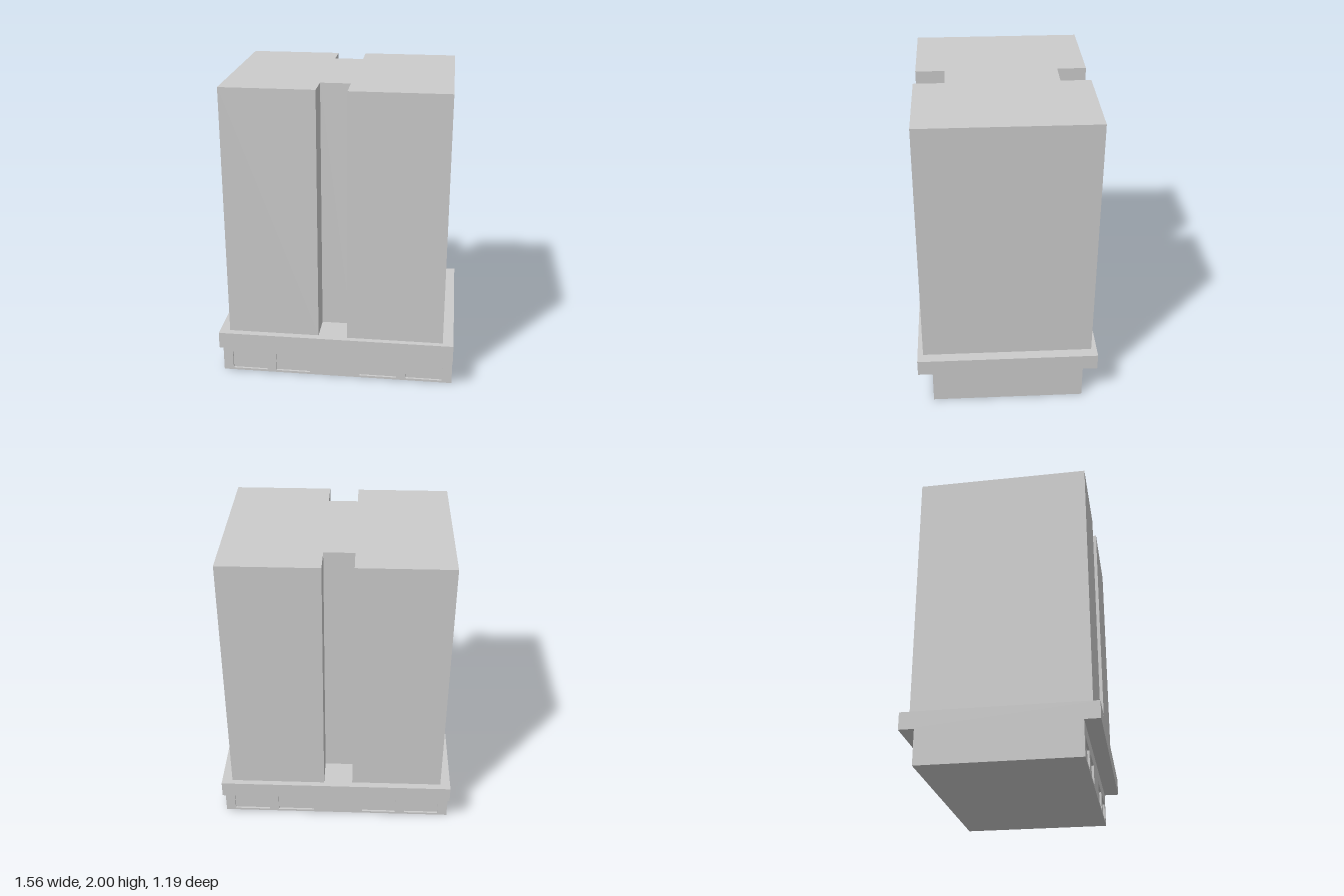
import * as THREE from 'three';

const material = new THREE.MeshStandardMaterial({ color: 0xcccccc, flatShading: true });

function add(group, name, geometry, x = 0, y = 0, z = 0) {
  const mesh = new THREE.Mesh(geometry, material);
  mesh.name = name;
  mesh.position.set(x, y, z);
  group.add(mesh);
  return mesh;
}

function outline(points, Type = THREE.Shape) {
  return new Type(points.map(([x, y]) => new THREE.Vector2(x, y)));
}

function rect(x0, x1, y0, y1, Type) {
  return outline([[x0, y0], [x1, y0], [x1, y1], [x0, y1]], Type);
}

export function createModel() {
  const group = new THREE.Group();
  group.name = 'towerBlock';

  const halfWidth = 0.78, baseTop = 0.225, slabTop = 0.335;
  const baseDepth = 0.5, recess = 0.014;

  // Ground floor core, whose faces form the backs of the recessed windows
  add(group, 'groundFloor',
    new THREE.BoxGeometry(halfWidth * 2, baseTop, (baseDepth - recess) * 2), 0, baseTop / 2, 0);

  // Thin facades with window openings, front and back
  const windows = [[-0.715, -0.48], [-0.415, -0.182], [0.157, 0.407], [0.472, 0.715]];
  const facade = rect(-halfWidth, halfWidth, 0, baseTop);
  for (const [x0, x1] of windows) facade.holes.push(rect(x0, x1, 0.015, 0.14, THREE.Path));
  const facadeGeometry = new THREE.ExtrudeGeometry(facade, { depth: recess, bevelEnabled: false });
  add(group, 'frontFacade', facadeGeometry, 0, 0, baseDepth - recess);
  add(group, 'backFacade', facadeGeometry, 0, 0, -baseDepth);

  // Overhanging podium slab
  add(group, 'podiumSlab',
    new THREE.BoxGeometry(halfWidth * 2, slabTop - baseTop, 1.194), 0, (slabTop + baseTop) / 2, 0);

  // Tower with a notch front and back; plan points are [x, -z]
  const plan = outline([
    [-0.713, -0.55], [-0.112, -0.55], [-0.112, -0.363], [0.08, -0.363], [0.08, -0.56], [0.71, -0.56],
    [0.71, 0.56], [0.08, 0.56], [0.08, 0.365], [-0.112, 0.365], [-0.112, 0.552], [-0.713, 0.552],
  ]);
  const tower = add(group, 'tower',
    new THREE.ExtrudeGeometry(plan, { depth: 2 - slabTop, bevelEnabled: false }), 0, slabTop, 0);
  tower.rotation.x = -Math.PI / 2;

  return group;
}
